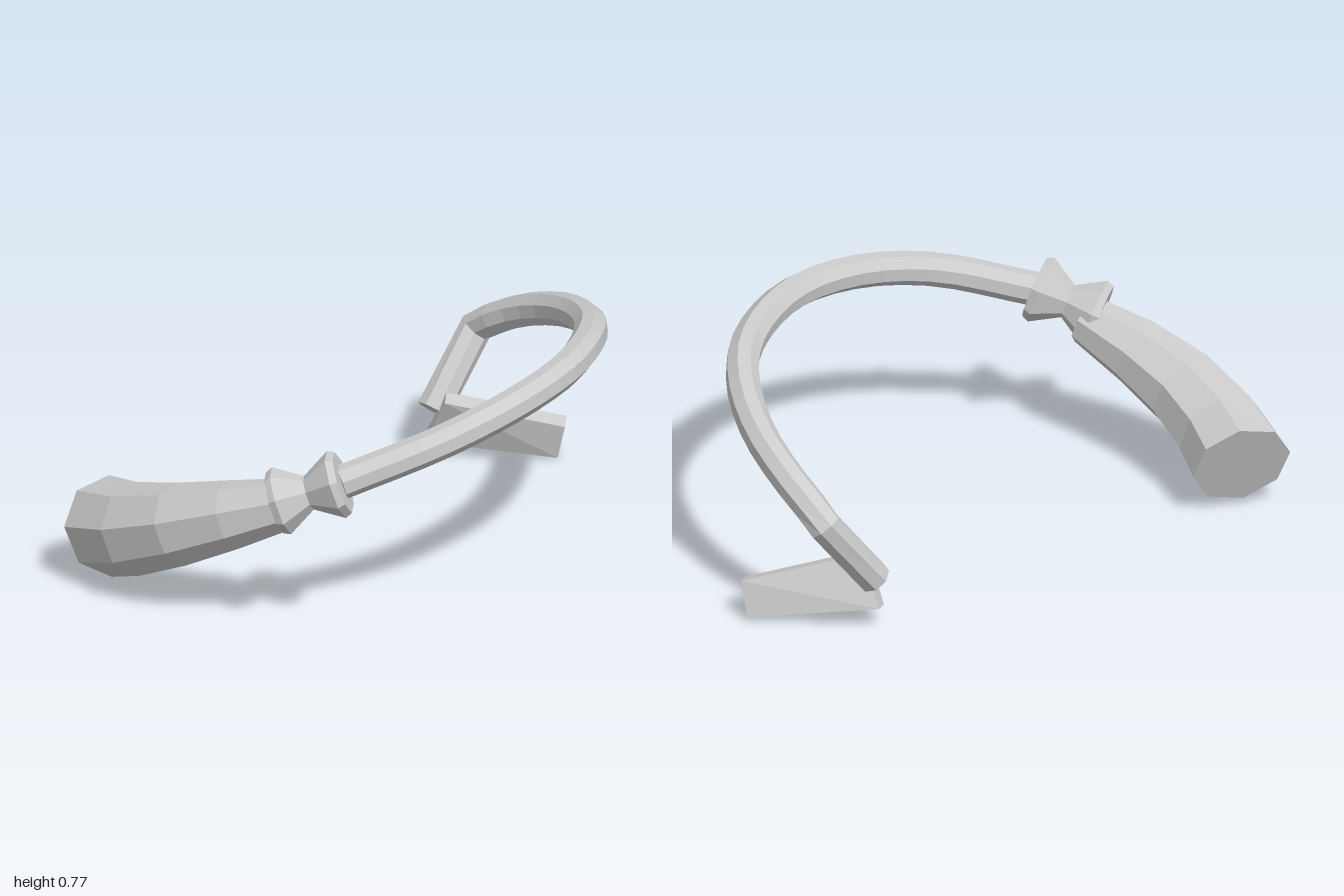
import * as THREE from 'three';
import { ConvexGeometry } from 'three/addons/geometries/ConvexGeometry.js';

const SIDES = 8;
const v = (x, y, z) => new THREE.Vector3(x, y, z);

// Capped octagonal sweep through a list of centres, one radius per centre.
function sweep(points, radii, endTangent) {
  const pos = [], index = [], last = points.length - 1;
  const up = v(0, 1, 0);
  points.forEach((p, i) => {
    const before = p.clone().sub(points[Math.max(i - 1, 0)]).normalize();
    const after = points[Math.min(i + 1, last)].clone().sub(p).normalize();
    const t = i === last && endTangent ? endTangent.clone() : before.add(after);
    t.normalize();
    // carry the frame along the path
    up.addScaledVector(t, -up.dot(t)).normalize();
    const side = t.clone().cross(up);
    for (let k = 0; k < SIDES; k++) {
      const a = (k + 0.5) / SIDES * Math.PI * 2;
      const q = p.clone()
        .addScaledVector(up, Math.cos(a) * radii[i])
        .addScaledVector(side, Math.sin(a) * radii[i]);
      pos.push(q.x, q.y, q.z);
    }
  });
  for (let i = 0; i < last; i++) {
    for (let k = 0; k < SIDES; k++) {
      const a = i * SIDES + k, b = i * SIDES + (k + 1) % SIDES;
      index.push(a, b, a + SIDES, b, b + SIDES, a + SIDES);
    }
  }
  // end caps
  const e = last * SIDES;
  for (let k = 1; k < SIDES - 1; k++) {
    index.push(0, k + 1, k, e, e + k, e + k + 1);
  }
  const geo = new THREE.BufferGeometry();
  geo.setAttribute('position', new THREE.Float32BufferAttribute(pos, 3));
  geo.setIndex(index);
  const flat = geo.toNonIndexed();
  flat.computeVertexNormals();
  return flat;
}

export function createModel() {
  const model = new THREE.Group();
  const material = new THREE.MeshStandardMaterial({ color: 0xcccccc, flatShading: true });
  const add = (name, geometry) => {
    const mesh = new THREE.Mesh(geometry, material);
    mesh.name = name;
    model.add(mesh);
  };

  // Curved handle, swelling towards its butt
  add('handle', sweep(
    [v(-0.71, 0.445, 0.21), v(-0.79, 0.375, 0.03), v(-0.845, 0.30, -0.16),
      v(-0.85, 0.225, -0.36), v(-0.815, 0.175, -0.53)],
    [0.085, 0.115, 0.138, 0.155, 0.168], v(0.27, -0.38, -0.9)));

  // Hourglass collar between handle and arm
  const from = v(-0.755, 0.455, 0.19), to = v(-0.605, 0.535, 0.36);
  add('collar', sweep(
    [0, 0.1, 0.5, 0.9, 1].map(t => from.clone().lerp(to, t)),
    [0.105, 0.115, 0.058, 0.115, 0.105]));

  // Sweeping arm: near-circular in plan, rising and falling, then a bent strut
  const heights = new THREE.CatmullRomCurve3(
    [[128, 0.53], [106, 0.63], [88, 0.685], [68, 0.71], [45, 0.695],
      [30, 0.655], [14, 0.59], [0, 0.51], [-12, 0.41]].map(([deg, y]) => {
      const a = THREE.MathUtils.degToRad(deg);
      return v(-0.04 + 0.92 * Math.cos(a), y, -0.35 + 0.885 * Math.sin(a));
    }));
  const path = heights.getSpacedPoints(24);
  path[24].set(0.862, 0.405, -0.53);
  path.push(v(0.665, 0.165, -0.53));
  add('arm', sweep(path, path.map(() => 0.057)));

  // Slanted tapering block at the foot of the strut
  const thickness = v(0.05, 0.013, -0.043);
  const face = [v(0.63, 0.225, -0.44), v(0.63, 0.06, -0.535),
    v(0.95, 0, -0.235), v(0.95, 0.12, -0.2)];
  add('footBlock', new ConvexGeometry(
    face.flatMap(p => [p, p.clone().add(thickness)])));

  return model;
}
